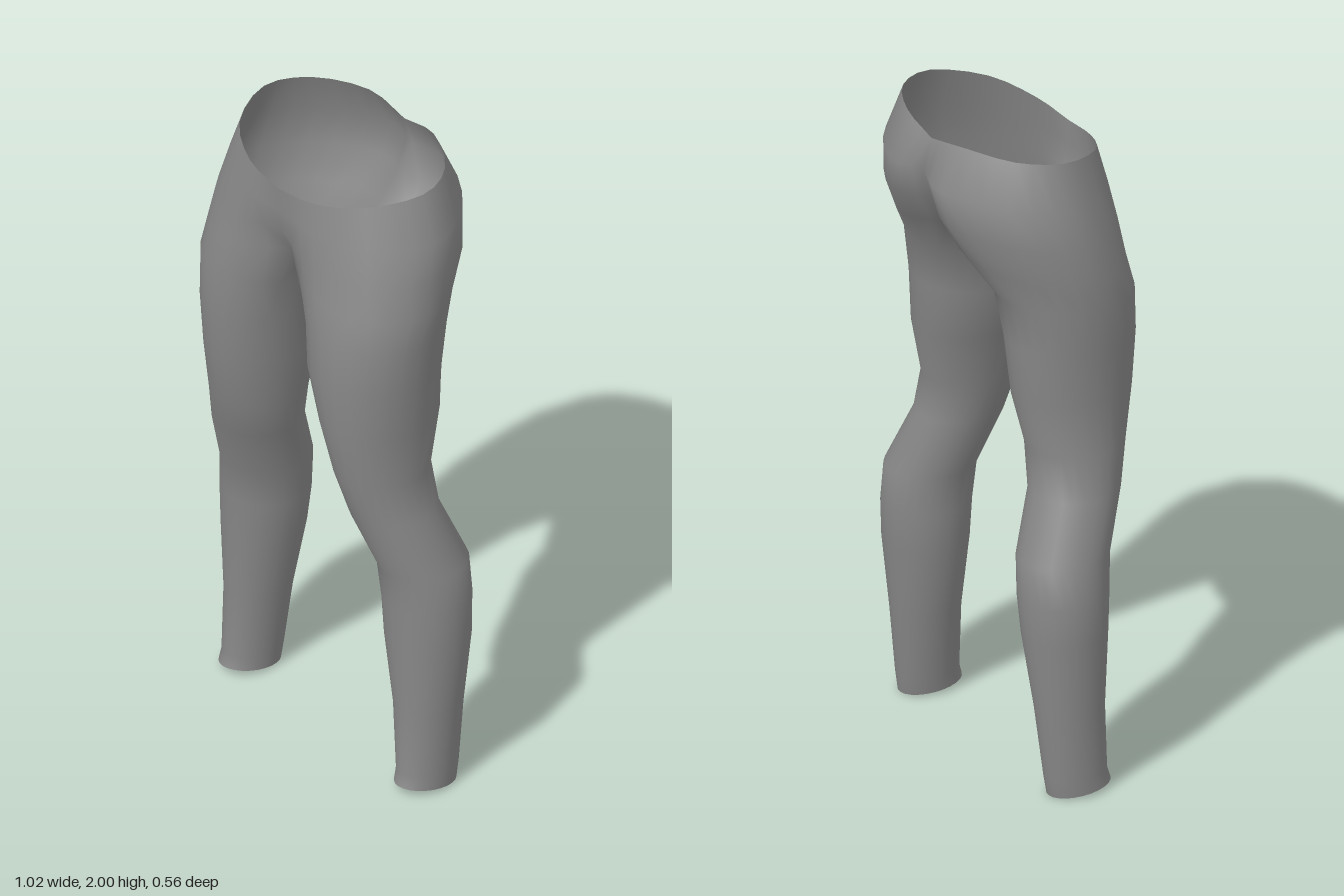
import * as THREE from 'three';
import { mergeGeometries, mergeVertices } from 'three/addons/utils/BufferGeometryUtils.js';

const N = 24;    // points around a leg
const HALF = 18; // steps from front centre round the hip to back centre

// Hip rows, each from front centre round the side to back centre
const HIPS = [
  [[0, 1.915, 0.24], [0.15, 1.93, 0.225], [0.295, 1.96, 0.15], [0.372, 1.985, 0], [0.31, 1.995, -0.13], [0.15, 2, -0.213], [0, 1.972, -0.224]],
  [[0, 1.84, 0.237], [0.16, 1.84, 0.24], [0.33, 1.84, 0.17], [0.425, 1.84, 0], [0.34, 1.86, -0.17], [0.14, 1.87, -0.281], [0, 1.88, -0.252]],
  [[0, 1.77, 0.23], [0.18, 1.74, 0.25], [0.355, 1.73, 0.19], [0.442, 1.73, 0.03], [0.36, 1.74, -0.155], [0.16, 1.76, -0.262], [0, 1.78, -0.222]],
  [[0, 1.69, 0.19], [0.2, 1.64, 0.262], [0.38, 1.62, 0.2], [0.45, 1.62, 0.04], [0.37, 1.62, -0.11], [0.19, 1.65, -0.208], [0, 1.69, -0.17]],
];

// Crotch seam, back to front
const SEAM = [[0, 1.635, -0.12], [0, 1.6, -0.06], [0, 1.59, 0], [0, 1.61, 0.07], [0, 1.645, 0.13]];

// Leg rows: y, left outer x, left inner x, right outer x, right inner x, front z, back z
const LEGS = [
  [1.53, 0.45, 0.04, 0.45, 0.045, 0.278, -0.133],
  [1.39, 0.44, 0.058, 0.437, 0.09, 0.28, -0.117],
  [1.22, 0.425, 0.12, 0.42, 0.125, 0.268, -0.105],
  [1.05, 0.415, 0.165, 0.425, 0.15, 0.235, -0.065],
  [0.92, 0.44, 0.195, 0.452, 0.185, 0.2, -0.072],
  [0.74, 0.497, 0.24, 0.497, 0.23, 0.135, -0.14],
  [0.62, 0.505, 0.245, 0.515, 0.245, 0.122, -0.146],
  [0.5, 0.51, 0.252, 0.51, 0.262, 0.117, -0.138],
  [0.27, 0.488, 0.295, 0.496, 0.312, 0.102, -0.112],
  [0.06, 0.48, 0.328, 0.488, 0.337, 0.108, -0.09],
  [0.012, 0.48, 0.335, 0.486, 0.34, 0.12, -0.08],
];

function hipRow(points) {
  const curve = new THREE.CatmullRomCurve3(points.map(p => new THREE.Vector3(...p)), false, 'catmullrom', 0.5);
  return curve.getPoints(HALF).map(p => p.toArray());
}

function legRow(row, side, isHem) {
  const [y, , , , , zf, zb] = row;
  const [xo, xi] = side > 0 ? [row[1], row[2]] : [row[3], row[4]];
  const cx = (xo + xi) / 2, cz = (zf + zb) / 2;
  return Array.from({ length: N }, (_, k) => {
    const a = Math.PI * 0.75 - (k / N) * Math.PI * 2;
    const dz = (zf - zb) / 2 * Math.sin(a);
    return [cx + (xo - xi) / 2 * Math.cos(a), y + (isHem ? 0.11 * dz : 0), cz + dz];
  });
}

// One half of the garment: open hip rows, then closed leg rows
function halfGeometry(side) {
  const rows = HIPS.map(hipRow);
  rows[rows.length - 1].push(...SEAM);
  LEGS.forEach((r, i) => rows.push(legRow(r, side, i === LEGS.length - 1)));

  const positions = [], starts = [], index = [];
  rows.forEach(row => {
    starts.push(positions.length / 3);
    row.forEach(([x, y, z]) => positions.push(side * x, y, z));
  });
  for (let r = 0; r < rows.length - 1; r++) {
    const count = r < HIPS.length - 1 ? HALF : N;
    for (let k = 0; k < count; k++) {
      const n = count === N ? (k + 1) % N : k + 1;
      const a = starts[r] + k, b = starts[r] + n;
      const c = starts[r + 1] + k, d = starts[r + 1] + n;
      if (side > 0) index.push(a, c, b, b, c, d);
      else index.push(a, b, c, b, d, c);
    }
  }
  const geometry = new THREE.BufferGeometry();
  geometry.setAttribute('position', new THREE.Float32BufferAttribute(positions, 3));
  geometry.setIndex(index);
  return geometry;
}

export function createModel() {
  const fabric = new THREE.MeshStandardMaterial({ color: 0x888888, side: THREE.DoubleSide });
  fabric.name = 'grey fabric';

  // Weld both halves along the centre seam so the shading is continuous
  const geometry = mergeVertices(mergeGeometries([halfGeometry(1), halfGeometry(-1)]), 1e-4);
  geometry.computeVertexNormals();

  const leggings = new THREE.Mesh(geometry, fabric);
  leggings.name = 'leggings';
  const group = new THREE.Group();
  group.name = 'leggingsModel';
  group.add(leggings);
  return group;
}
